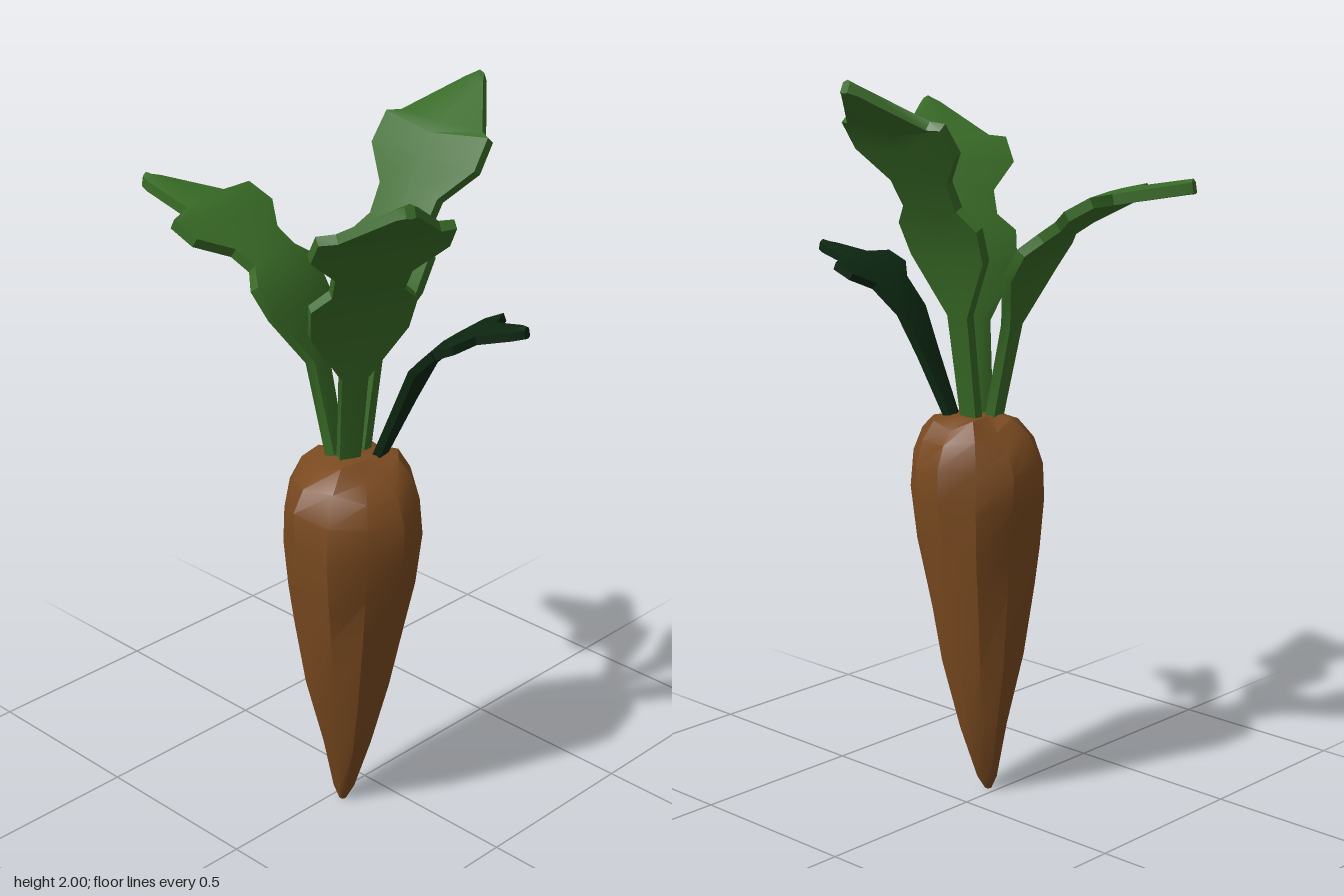
import * as THREE from 'three';
import { toCreasedNormals } from 'three/addons/utils/BufferGeometryUtils.js';

// Skins a list of rings (outward when counter-clockwise about the sweep) and caps both ends
function loft(rings, crease) {
  const n = rings[0].length, pos = [], idx = [];
  rings.forEach((ring) => ring.forEach((p) => pos.push(p.x, p.y, p.z)));
  for (let i = 0; i < rings.length - 1; i++) {
    for (let j = 0; j < n; j++) {
      const a = i * n + j, b = i * n + (j + 1) % n;
      idx.push(a, b, b + n, a, b + n, a + n);
    }
  }
  const last = (rings.length - 1) * n;
  for (let j = 1; j < n - 1; j++) {
    idx.push(0, j + 1, j);
    idx.push(last, last + j, last + j + 1);
  }
  const g = new THREE.BufferGeometry();
  g.setAttribute('position', new THREE.Float32BufferAttribute(pos, 3));
  g.setIndex(idx);
  return toCreasedNormals(g, crease);
}

// Root: irregular tapering rings, each [y, radius, centre x, centre z]
function rootGeometry() {
  const rows = [
    [0.01, 0.01, 0.03, 0.12], [0.05, 0.03, 0.03, 0.115], [0.2, 0.068, 0.04, 0.11],
    [0.4, 0.115, 0.05, 0.115], [0.6, 0.147, 0.057, 0.115], [0.72, 0.167, 0.062, 0.115],
    [0.86, 0.186, 0.064, 0.115], [0.96, 0.184, 0.064, 0.115], [1.03, 0.157, 0.064, 0.11],
    [1.075, 0.115, 0.064, 0.1], [1.09, 0.06, 0.064, 0.1],
  ];
  const sides = 11;
  return loft(rows.map(([y, r, cx, cz], i) => {
    const ring = [];
    for (let j = 0; j < sides; j++) {
      const a = -j / sides * Math.PI * 2;
      const k = r * (1 + 0.035 * Math.sin(j * 2.3 + i * 1.1));
      const dy = i > 4 && i < 10 ? 0.018 * Math.sin(j * 3.7 + i * 0.6) : 0;
      ring.push(new THREE.Vector3(cx + k * Math.cos(a), y + dy, cz + k * Math.sin(a)));
    }
    return ring;
  }), 0.5);
}

// Leaf: thin lobed blade along an arching midrib; rows are [fraction outwards, y, half width, forward sweep]
function leafGeometry(base, tip, rows, thick) {
  const [bx, bz] = base, dx = tip[0] - bx, dz = tip[1] - bz;
  const side = new THREE.Vector3(dz, 0, -dx).normalize();
  const mid = rows.map(([t, y]) => new THREE.Vector3(bx + dx * t, y, bz + dz * t));
  const section = [[1, -0.5], [1, 0.5], [0, 0.8], [-1, 0.5], [-1, -0.5], [0, -0.6]];
  return loft(rows.map(([, , w, sweep = 0], i) => {
    const along = mid[Math.min(i + 1, mid.length - 1)].clone().sub(mid[Math.max(i - 1, 0)]).normalize();
    const up = along.clone().cross(side);
    return section.map(([u, v]) => mid[i].clone()
      .addScaledVector(side, u * w)
      .addScaledVector(up, v * thick)
      .addScaledVector(along, Math.abs(u) * sweep));
  }), 0.6);
}

// Rows of a full leaf with two pairs of lobes; ys are the midrib heights
function lobedRows(ys, shoulder) {
  const t = [0, 0.1, 0.19, 0.25, 0.33, 0.42, 0.53, 0.6, 0.66, 0.95, 1];
  const w = [0.028, 0.036, 0.13, 0.14, 0.095, 0.1, 0.178, 0.175, shoulder, 0.03, 0.012];
  const sweep = [0, 0, 0, 0.02, 0, 0, 0, 0.03, 0.01, 0, 0];
  return t.map((f, i) => [f, ys[i], w[i], sweep[i]]);
}

export function createModel() {
  const group = new THREE.Group();
  group.name = 'carrot';
  const orange = new THREE.MeshStandardMaterial({ color: 0x7a4a20 });
  orange.name = 'root brown';
  const green = new THREE.MeshStandardMaterial({ color: 0x386a26 });
  green.name = 'leaf green';
  const dark = new THREE.MeshStandardMaterial({ color: 0x0c2611 });
  dark.name = 'dark leaf green';

  const add = (name, geometry, material) => {
    const mesh = new THREE.Mesh(geometry, material);
    mesh.name = name;
    group.add(mesh);
  };

  add('root', rootGeometry(), orange);

  // Three large leaves
  add('backLeaf', leafGeometry([0.045, 0.07], [0.045, -0.385],
    lobedRows([1.06, 1.37, 1.53, 1.6, 1.67, 1.74, 1.82, 1.87, 1.89, 1.98, 1.99], 0.14), 0.026), green);
  add('leftLeaf', leafGeometry([0.065, 0.13], [0.445, 0.31],
    lobedRows([1.06, 1.33, 1.47, 1.54, 1.6, 1.66, 1.73, 1.77, 1.79, 1.88, 1.89], 0.13), 0.026), green);
  add('rightLeaf', leafGeometry([0.025, 0.13], [-0.53, 0.275],
    lobedRows([1.06, 1.34, 1.48, 1.54, 1.59, 1.625, 1.665, 1.69, 1.7, 1.73, 1.735], 0.085), 0.028), green);

  // Small dark leaf with one pair of lobes
  add('smallLeaf', leafGeometry([0.1, 0.06], [0.52, -0.03], [
    [0, 1.06, 0.02], [0.2, 1.25, 0.04], [0.32, 1.36, 0.058], [0.48, 1.43, 0.075], [0.57, 1.46, 0.13],
    [0.66, 1.48, 0.13, 0.015], [0.74, 1.49, 0.055], [0.94, 1.51, 0.03], [1, 1.515, 0.012],
  ], 0.022), dark);

  return group;
}
